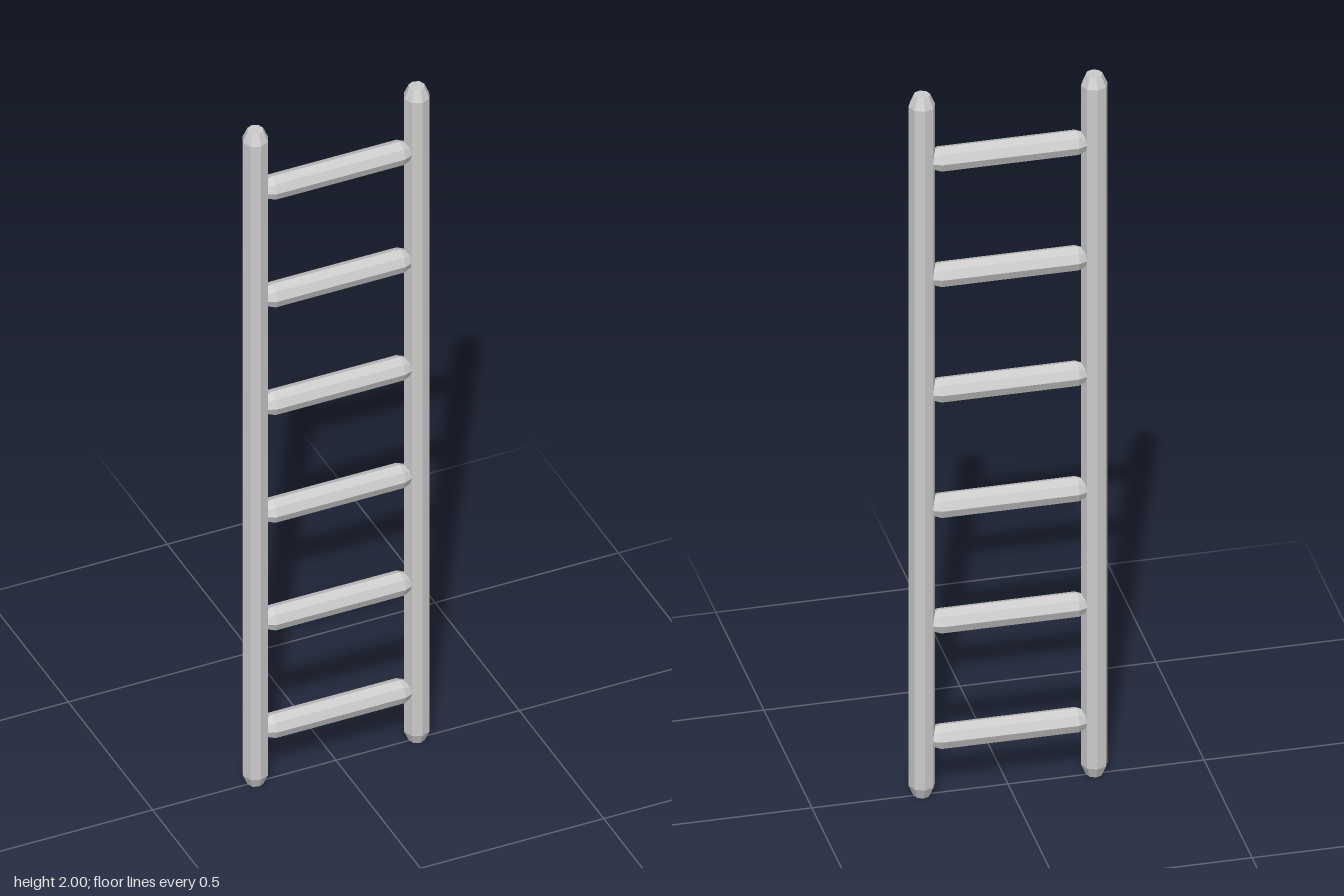
import * as THREE from 'three';

const material = new THREE.MeshStandardMaterial({ color: 0xcccccc, flatShading: true });

// Eight-sided pole along y, with tapered, capped ends
function pole(length, radius, capRadius, taper) {
  const h = length / 2;
  const profile = [
    [0, -h], [capRadius, -h], [radius, -h + taper],
    [radius, h - taper], [capRadius, h], [0, h],
  ].map(([x, y]) => new THREE.Vector2(x, y));
  return new THREE.LatheGeometry(profile, 8);
}

export function createModel() {
  const group = new THREE.Group();
  group.name = 'ladder';

  // Upright side rails
  const railGeometry = pole(2, 0.034, 0.021, 0.03);
  for (const side of [-1, 1]) {
    const rail = new THREE.Mesh(railGeometry, material);
    rail.name = side > 0 ? 'leftRail' : 'rightRail';
    rail.position.set(side * 0.22, 1, 0);
    group.add(rail);
  }

  // Evenly spaced rungs, ends set into the rails
  const rungGeometry = pole(0.41, 0.033, 0.021, 0.03).rotateZ(Math.PI / 2);
  for (let i = 0; i < 6; i++) {
    const rung = new THREE.Mesh(rungGeometry, material);
    rung.name = `rung${i + 1}`;
    rung.position.y = 0.16 + i * 0.33;
    group.add(rung);
  }
  return group;
}
